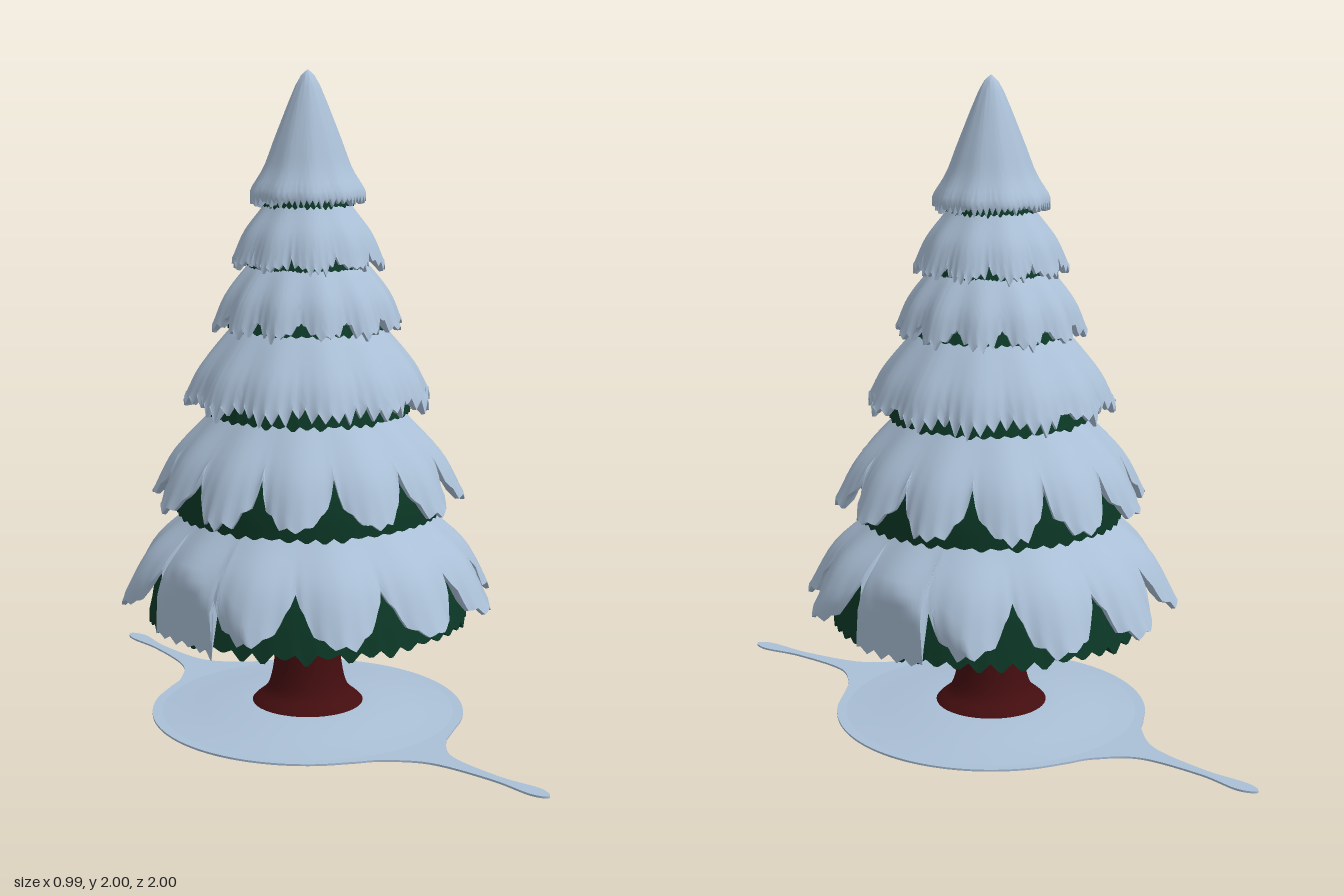
import * as THREE from 'three';
import { toCreasedNormals } from 'three/addons/utils/BufferGeometryUtils.js';

const STEPS = 240; // columns around the tree

function seeded(seed) {
  return () => ((seed = (seed * 16807) % 2147483647) / 2147483647);
}

// Ragged edge: a triangular tooth of random length every few columns, values 0..1
function raggedEdge(seed, width) {
  const rand = seeded(seed);
  const lengths = Array.from({ length: STEPS / width }, () => 0.3 + 0.7 * rand());
  return (j) => {
    const k = (j % STEPS) / width;
    const f = k - Math.floor(k);
    return lengths[Math.floor(k)] * (1 - Math.abs(2 * f - 1));
  };
}

// Closed ring surface; at(row, column, angle) gives [radius, y], rows run downward
function ringSurface(rows, at, maxX = Infinity) {
  const pos = [], index = [];
  for (let i = 0; i < rows; i++) {
    for (let j = 0; j < STEPS; j++) {
      const a = (j / STEPS) * Math.PI * 2;
      const [r, y] = at(i, j, a);
      const x = THREE.MathUtils.clamp(r * Math.sin(a), -maxX, maxX);
      pos.push(x, y, r * Math.cos(a));
      if (i === rows - 1) continue;
      const p = i * STEPS + j, q = i * STEPS + ((j + 1) % STEPS);
      index.push(p, p + STEPS, q + STEPS, p, q + STEPS, q);
    }
  }
  const g = new THREE.BufferGeometry();
  g.setAttribute('position', new THREE.Float32BufferAttribute(pos, 3));
  g.setIndex(index);
  return toCreasedNormals(g, 0.9);
}

const curve = (pts) => new THREE.SplineCurve(pts.map((p) => new THREE.Vector2(...p)));

// Snow blanket with scalloped lobes, dripping edge and a turned-under lip
function snowTier({ snow, lobes, phase, notch, depth, drip, maxX, sidePanels }, seed) {
  const path = curve(snow), edge = raggedEdge(seed, 4), rows = 14;
  const at = (i, j, a) => {
    const c = Math.abs(Math.cos((lobes / 2) * (a - phase)));
    const panel = sidePanels && Math.abs(Math.sin(a)) > Math.cos(Math.PI / 12);
    const end = panel ? 1 : 1 - notch * (1 - Math.pow(c, 0.7));
    const u = Math.min(i / rows, 1);
    const p = path.getPoint(u * end);
    let r = p.x * (1 - depth * (1 - c * c) * u * end);
    let y = p.y - drip * Math.pow(u, 8) * (edge(j) - 0.4);
    if (panel) y -= 0.06 * u * u * u;
    if (i === rows + 1) { r -= 0.012; y -= 0.002; }
    if (i === rows + 2) { r -= 0.04; y += 0.025; }
    return [r, y];
  };
  return ringSurface(rows + 3, at, maxX);
}

// Needle skirt below the snow, with toothed hem and closed underside
function needleTier({ needles, hem, under = 0.5, maxX }, seed) {
  const path = curve(needles), edge = raggedEdge(seed, 5), rows = 6;
  const last = needles[needles.length - 1];
  const at = (i, j) => {
    if (i > rows) return [last[0] * under, last[1] + 0.035];
    const p = path.getPoint(i / rows);
    return [p.x, i === rows ? p.y + hem * (0.6 - edge(j)) : p.y];
  };
  return ringSurface(rows + 2, at, maxX && maxX - 0.015);
}

const HALF_LOBE = Math.PI / 12;
const TIERS = [
  { snow: [[0.3, 0.72], [0.385, 0.64], [0.505, 0.53], [0.585, 0.38]],
    needles: [[0.33, 0.62], [0.45, 0.53], [0.495, 0.315]],
    lobes: 12, phase: 0, notch: 0.33, depth: 0.06, drip: 0.03, hem: 0.04,
    under: 0.58, maxX: 0.495, sidePanels: true },
  { snow: [[0.24, 1.02], [0.31, 0.95], [0.42, 0.83], [0.485, 0.7]],
    needles: [[0.25, 0.93], [0.385, 0.82], [0.405, 0.65]],
    lobes: 12, phase: HALF_LOBE, notch: 0.33, depth: 0.06, drip: 0.03, hem: 0.02 },
  { snow: [[0.18, 1.28], [0.25, 1.21], [0.34, 1.1], [0.383, 1.005]],
    needles: [[0.2, 1.18], [0.28, 1.08], [0.315, 0.965]],
    lobes: 12, phase: 0, notch: 0.12, depth: 0.05, drip: 0.05, hem: 0.02 },
  { snow: [[0.14, 1.46], [0.2, 1.4], [0.26, 1.32], [0.295, 1.23]],
    needles: [[0.15, 1.38], [0.21, 1.3], [0.245, 1.225]],
    lobes: 12, phase: 0, notch: 0.2, depth: 0.08, drip: 0.03, hem: 0.015 },
  { snow: [[0.09, 1.66], [0.14, 1.59], [0.2, 1.51], [0.237, 1.42]],
    needles: [[0.1, 1.57], [0.16, 1.48], [0.185, 1.41]],
    lobes: 10, phase: 0, notch: 0.14, depth: 0.06, drip: 0.03, hem: 0.015 },
  { snow: [[0.001, 2], [0.034, 1.96], [0.1, 1.8], [0.135, 1.71], [0.174, 1.645], [0.178, 1.615]],
    needles: [[0.06, 1.72], [0.12, 1.66], [0.14, 1.595]],
    lobes: 10, phase: 0, notch: 0.03, depth: 0.04, drip: 0.03, hem: 0.015 },
];

// Round snow patch with a thin runnel to the front and to the back
function patchOutline() {
  const tail = [[0.13, 0.49], [0.045, 0.6], [0.035, 0.8], [0.058, 0.94], [0.035, 0.998],
    [0.006, 0.95], [0.002, 0.8], [-0.04, 0.6], [-0.13, 0.49]];
  const arc = (side) => Array.from({ length: 11 }, (_, i) => {
    const a = THREE.MathUtils.degToRad(25 + 13 * i);
    return [side * 0.49 * Math.sin(a), 0.49 * Math.cos(a)];
  });
  const back = tail.map(([x, z]) => [x, -z]).reverse();
  const pts = [...tail, ...arc(-1), ...back, ...arc(1).reverse()];
  const shape = new THREE.Shape();
  shape.moveTo(...pts[0]);
  shape.splineThru([...pts.slice(1), pts[0]].map((p) => new THREE.Vector2(...p)));
  return shape;
}

export function createModel() {
  const model = new THREE.Group();
  model.name = 'snowyFirTree';
  const material = (name, color, side = THREE.FrontSide) => {
    const m = new THREE.MeshStandardMaterial({ color, side });
    m.name = name;
    return m;
  };
  const snow = material('snow', 0xaabfd6, THREE.DoubleSide);
  const needles = material('needles', 0x0c3826, THREE.DoubleSide);
  const bark = material('bark', 0x430d0f);
  const branchWood = material('branchWood', 0x38260c, THREE.DoubleSide);
  const add = (name, geometry, mat) => {
    const mesh = new THREE.Mesh(geometry, mat);
    mesh.name = name;
    model.add(mesh);
    return mesh;
  };

  // Foliage tiers from the bottom up
  TIERS.forEach((tier, i) => {
    add(`needleTier${i + 1}`, needleTier(tier, 101 + i * 37), needles);
    add(`snowTier${i + 1}`, snowTier(tier, 911 + i * 53), snow);
  });

  // Trunk with flared foot, and the woody underside of the crown
  const trunk = curve([[0.19, 0.02], [0.165, 0.045], [0.125, 0.085], [0.105, 0.17],
    [0.097, 0.3], [0.09, 0.5]]).getPoints(30);
  add('trunk', new THREE.LatheGeometry(trunk, 48), bark);
  const underside = new THREE.RingGeometry(0.08, 0.295, 48);
  underside.rotateX(Math.PI / 2);
  add('crownUnderside', underside, branchWood).position.y = 0.35;

  // Snow on the ground: flat patch and a low mound
  const patch = new THREE.ExtrudeGeometry(patchOutline(),
    { depth: 0.006, bevelEnabled: false, curveSegments: 160 });
  patch.rotateX(Math.PI / 2).translate(0, 0.006, 0);
  add('groundSnow', patch, snow);
  const mound = curve([[0.48, 0.004], [0.38, 0.014], [0.28, 0.027], [0.18, 0.036],
    [0.05, 0.038]]).getPoints(20);
  add('snowMound', new THREE.LatheGeometry(mound, 64), snow);

  return model;
}
